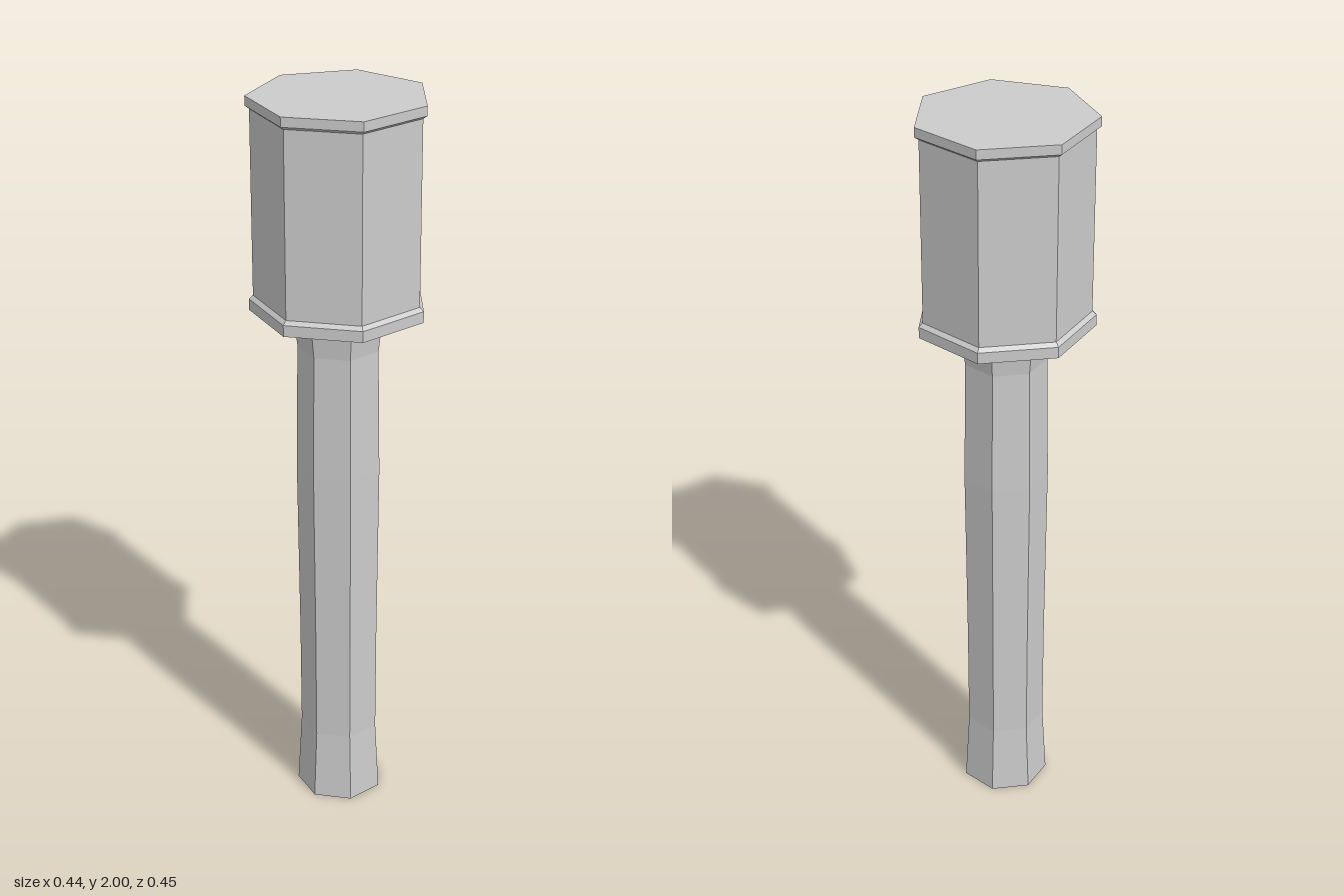
import * as THREE from 'three';

const SIDES = 7;

// Faceted seven-sided solid from a [radius, height] profile, one corner towards +x
function prism(name, profile) {
  const points = profile.map(([r, y]) => new THREE.Vector2(r, y));
  const geometry = new THREE.LatheGeometry(points, SIDES, Math.PI / 2);
  const material = new THREE.MeshStandardMaterial({ color: 0xcccccc, flatShading: true });
  const mesh = new THREE.Mesh(geometry, material);
  mesh.name = name;
  return mesh;
}

export function createModel() {
  const model = new THREE.Group();
  model.name = 'stickWithCylindricalHead';

  // Handle: flared at both ends, slightly swollen in the middle
  model.add(prism('handle', [
    [0, 0], [0.119, 0], [0.108, 0.2], [0.109, 0.5],
    [0.114, 1.0], [0.109, 1.34], [0.121, 1.44],
  ]));

  // Head: straight can with a bevelled rim at the bottom and top
  model.add(prism('head', [
    [0, 1.44], [0.2315, 1.44], [0.2315, 1.47], [0.2207, 1.48],
    [0.2207, 1.967], [0.2315, 1.975], [0.2315, 2], [0, 2],
  ]));

  // A seven-sided outline is off-centre in x, so shift it to the middle
  model.children.forEach((part) => { part.position.x = -0.0115; });
  return model;
}
